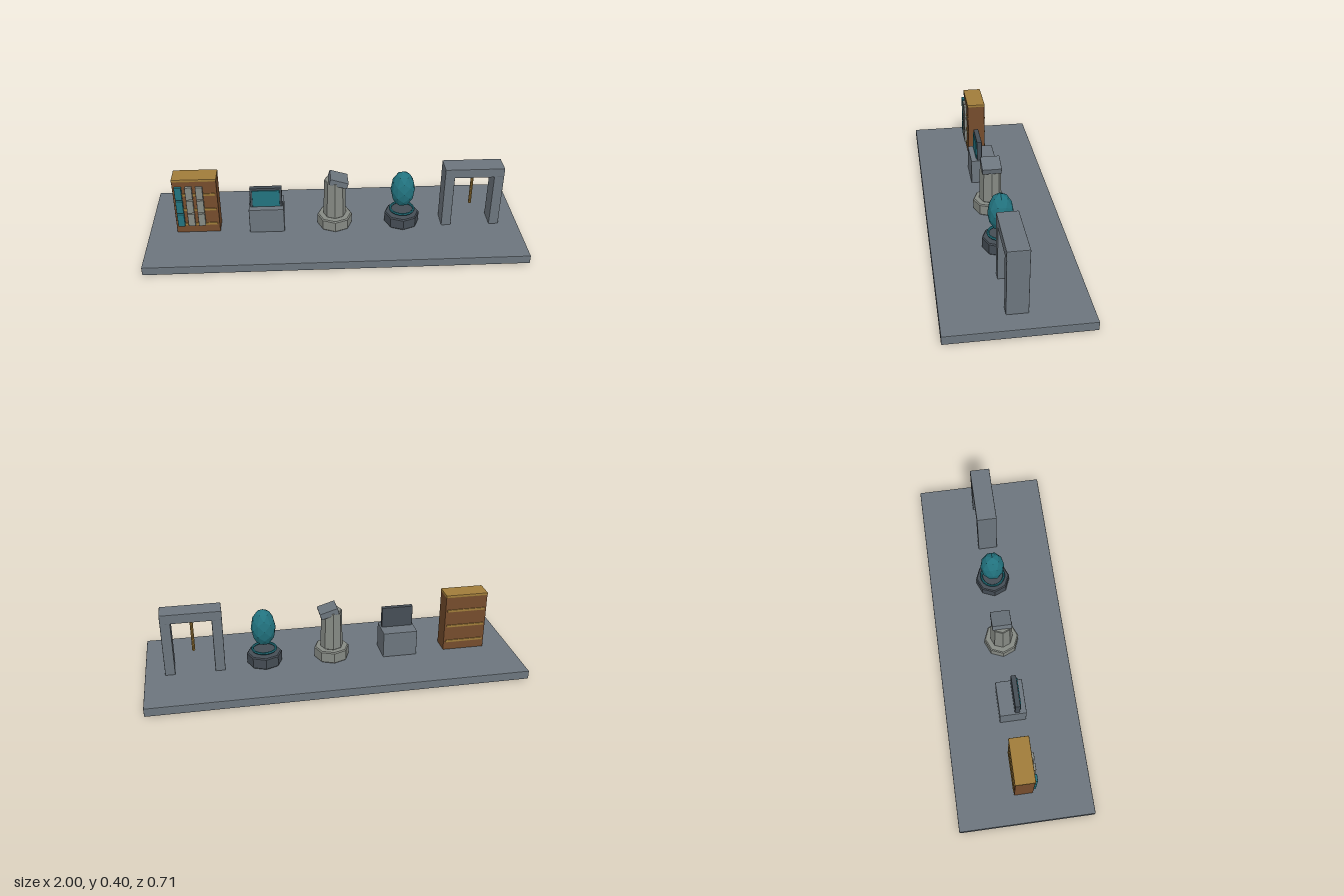
import * as THREE from 'three';
import { RoundedBoxGeometry } from 'three/addons/geometries/RoundedBoxGeometry.js';

const paint = (color) => new THREE.MeshStandardMaterial({ color, flatShading: true });
const slate = paint(0x6c757d), dark = paint(0x454d55), stone = paint(0x868a84);
const teal = paint(0x22737f), wood = paint(0x754c2c), gold = paint(0xa07c3a);

const FLOOR = 0.047;

export function createModel() {
  const model = new THREE.Group();

  const group = (name, x) => {
    const g = new THREE.Group();
    g.name = name;
    g.position.x = x;
    model.add(g);
    return g;
  };
  const add = (parent, name, geometry, material, x, y, z) => {
    const mesh = new THREE.Mesh(geometry, material);
    mesh.name = name;
    mesh.position.set(x, y, z);
    parent.add(mesh);
    return mesh;
  };
  // Box with small chamfers, placed by its centre
  const box = (parent, name, material, [w, h, d], [x, y, z], bevel = 0.004) =>
    add(parent, name, new RoundedBoxGeometry(w, h, d, 1, bevel), material, x, y, z);
  // Eight-sided drum with chamfered rims, standing on y
  const drum = (parent, name, material, rBottom, rTop, h, y, c = 0.006) => {
    const profile = [[0, 0], [rBottom - c, 0], [rBottom, c], [rTop, h - c], [rTop - c, h], [0, h]];
    const geometry = new THREE.LatheGeometry(profile.map(([r, v]) => new THREE.Vector2(r, v)), 8);
    return add(parent, name, geometry, material, 0, y, 0);
  };

  box(model, 'base', slate, [2, FLOOR, 0.71], [0, FLOOR / 2, 0]);

  // Bookcase with shelves and three rows of books
  const bookcase = group('bookcase', -0.736);
  box(bookcase, 'bookcaseBody', wood, [0.232, 0.32, 0.1], [0, 0.207, 0]);
  box(bookcase, 'bookcaseTop', gold, [0.234, 0.016, 0.104], [0, 0.37, 0]);
  for (let row = 0; row < 3; row++) {
    box(bookcase, 'shelf', gold, [0.21, 0.015, 0.108], [0, 0.1 + row * 0.092, 0], 0.003);
    for (let col = 0; col < 3; col++) {
      box(bookcase, 'book', col === 0 ? teal : stone, [0.037, 0.076, 0.03],
        [-0.086 + col * 0.055, 0.133 + row * 0.0825, 0.05], 0.003);
    }
  }

  // Console with an upright screen
  const consoleDesk = group('console', -0.367);
  box(consoleDesk, 'consoleBody', slate, [0.187, 0.143, 0.142], [0, 0.1185, 0]);
  box(consoleDesk, 'screenFrame', dark, [0.17, 0.12, 0.028], [0, 0.244, 0.023]);
  box(consoleDesk, 'screen', teal, [0.145, 0.098, 0.008], [0, 0.242, 0.038], 0.002);

  // Broken column with a tilted capital
  const column = group('column', 0);
  drum(column, 'columnFoot', stone, 0.094, 0.094, 0.066, FLOOR);
  drum(column, 'columnShaft', stone, 0.061, 0.056, 0.215, 0.112, 0.004);
  box(column, 'brokenCapital', slate, [0.1, 0.035, 0.104], [0.019, 0.325, 0], 0.003).rotation.z = -0.3;

  // Faceted egg floating over a ring
  const eggStand = group('eggStand', 0.367);
  drum(eggStand, 'eggPedestal', dark, 0.094, 0.094, 0.066, FLOOR);
  add(eggStand, 'ring', new THREE.TorusGeometry(0.063, 0.007, 6, 20), teal, 0, 0.131, 0).rotation.x = Math.PI / 2;
  add(eggStand, 'egg', new THREE.IcosahedronGeometry(1, 1), teal, 0, 0.256, 0).scale.set(0.066, 0.106, 0.066);

  // Gateway with a hanging rod
  const gateway = group('gateway', 0.738);
  for (const side of [-1, 1]) {
    box(gateway, 'gatePost', slate, [0.053, 0.325, 0.107], [side * 0.131, 0.2085, 0]);
  }
  box(gateway, 'gateLintel', slate, [0.315, 0.052, 0.108], [0, 0.37, 0]);
  add(gateway, 'hangingRod', new THREE.CylinderGeometry(0.008, 0.008, 0.195, 8), gold, 0, 0.2525, 0);

  return model;
}
